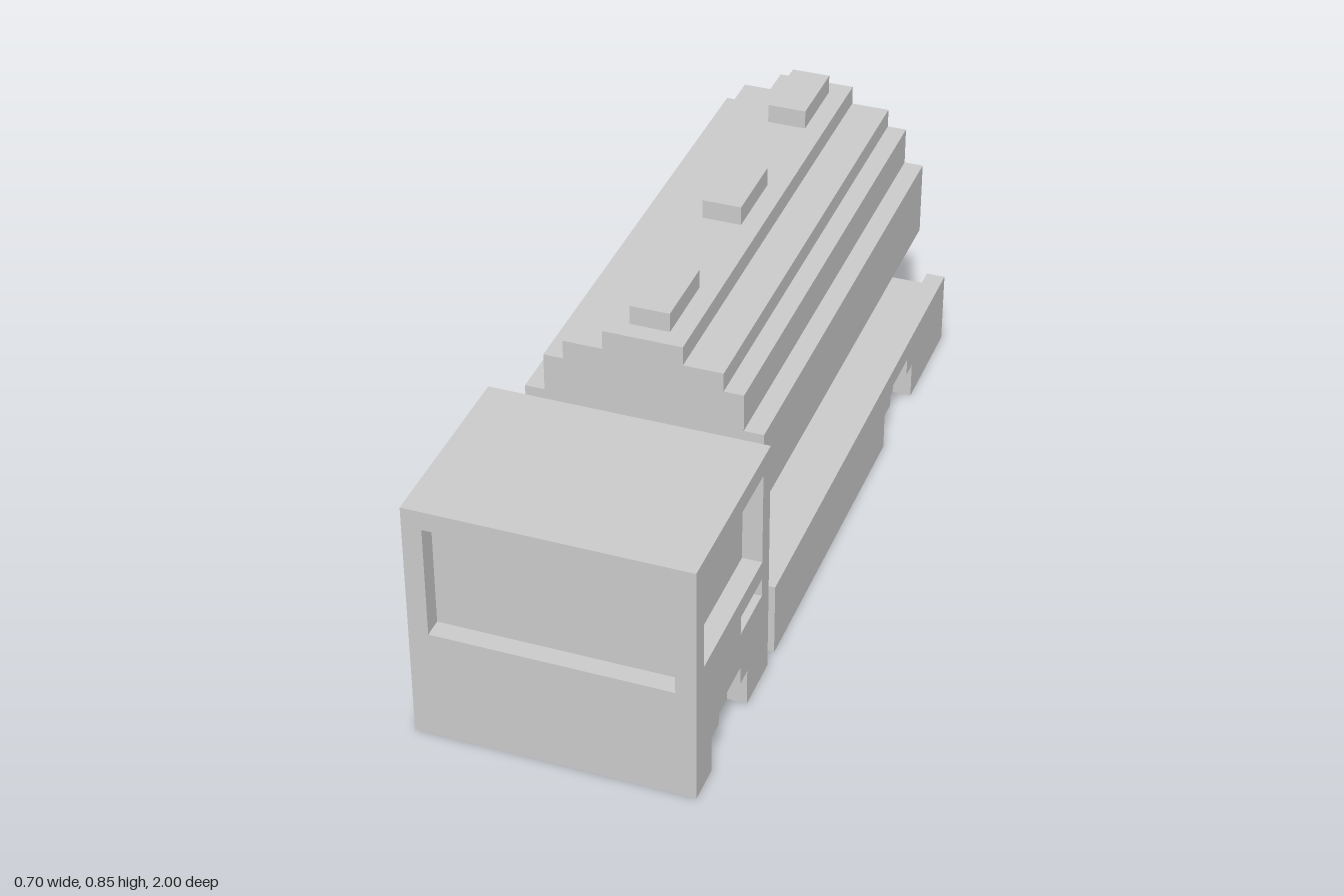
import * as THREE from 'three';

const material = new THREE.MeshStandardMaterial({ color: 0xcccccc, flatShading: true });

function add(group, name, geometry) {
  const mesh = new THREE.Mesh(geometry, material);
  mesh.name = name;
  group.add(mesh);
  return mesh;
}

// Box given by its minimum and maximum on each axis
function block(group, name, [x0, x1], [y0, y1], [z0, z1]) {
  const mesh = add(group, name, new THREE.BoxGeometry(x1 - x0, y1 - y0, z1 - z0));
  mesh.position.set((x0 + x1) / 2, (y0 + y1) / 2, (z0 + z1) / 2);
}

const points = (list) => list.map(([a, b]) => new THREE.Vector2(a, b));
const rect = (z0, z1, y0, y1) => new THREE.Path(points([[z0, y0], [z0, y1], [z1, y1], [z1, y0]]));

// Side skin with a stepped wheel arch and cut-outs, drawn in (z, y), placed on both sides
function sidePanels(group, name, z0, z1, height, arch, holes = []) {
  const shape = new THREE.Shape(points([
    [z0, 0], [arch - 0.125, 0], [arch - 0.125, 0.1], [arch - 0.075, 0.1], [arch - 0.075, 0.15],
    [arch + 0.075, 0.15], [arch + 0.075, 0.1], [arch + 0.125, 0.1], [arch + 0.125, 0],
    [z1, 0], [z1, height], [z0, height],
  ]));
  shape.holes = holes;
  const geometry = new THREE.ExtrudeGeometry(shape, { depth: 0.05, bevelEnabled: false });
  geometry.rotateY(-Math.PI / 2);
  add(group, name + 'Left', geometry).position.x = 0.35;
  add(group, name + 'Right', geometry).position.x = -0.3;
}

function createCab() {
  const cab = new THREE.Group();
  cab.name = 'cab';
  block(cab, 'cabCore', [-0.3, 0.3], [0, 0.65], [0.5, 0.95]);
  // Front skin above and below the recessed windscreen
  block(cab, 'frontPanel', [-0.3, 0.3], [0, 0.3], [0.95, 1]);
  block(cab, 'windscreenHeader', [-0.3, 0.3], [0.6, 0.65], [0.95, 1]);
  // Doors with recessed window and handle
  sidePanels(cab, 'door', 0.5, 1, 0.65, 0.775,
    [rect(0.55, 0.95, 0.35, 0.6), rect(0.55, 0.7, 0.25, 0.3)]);
  block(cab, 'cabBackPanel', [-0.3, 0.3], [0.05, 0.6], [0.45, 0.5]);
  return cab;
}

function createChassis() {
  const chassis = new THREE.Group();
  chassis.name = 'chassis';
  block(chassis, 'bedCore', [-0.3, 0.3], [0, 0.2], [-0.95, 0.45]);
  block(chassis, 'rearSill', [-0.3, 0.3], [0, 0.1], [-1, -0.95]);
  sidePanels(chassis, 'bedSide', -1, 0.45, 0.2, -0.575);
  return chassis;
}

function createTank() {
  const tank = new THREE.Group();
  tank.name = 'tank';
  // Stepped round section: half width of each layer and the height of its top
  const layers = [[0.1, 0.25], [0.2, 0.3], [0.25, 0.4], [0.3, 0.6], [0.25, 0.7], [0.2, 0.75], [0.1, 0.8]];
  const right = [];
  let bottom = 0.2;
  for (const [half, top] of layers) {
    right.push([half, bottom], [half, top]);
    bottom = top;
  }
  const left = right.map(([x, y]) => [-x, y]).reverse();
  const section = new THREE.Shape(points([...right, ...left]));
  const body = add(tank, 'tankBody', new THREE.ExtrudeGeometry(section, { depth: 1.3, bevelEnabled: false }));
  body.position.z = -0.9;

  // Hatches along the top
  for (const z of [0.25, -0.25, -0.75]) {
    block(tank, 'hatch', [-0.05, 0.05], [0.8, 0.85], [z - 0.1, z + 0.1]);
  }
  block(tank, 'cabConnector', [-0.05, 0.05], [0.45, 0.55], [0.4, 0.45]);

  // Rear valve box with its T-shaped outlet
  block(tank, 'valveBox', [-0.2, 0.2], [0.2, 0.4], [-0.95, -0.75]);
  block(tank, 'outletTop', [-0.1, 0.1], [0.3, 0.35], [-1, -0.95]);
  block(tank, 'outletBottom', [-0.05, 0.05], [0.25, 0.3], [-1, -0.95]);
  return tank;
}

export function createModel() {
  const model = new THREE.Group();
  model.name = 'tankTruck';
  model.add(createCab(), createChassis(), createTank());
  return model;
}
